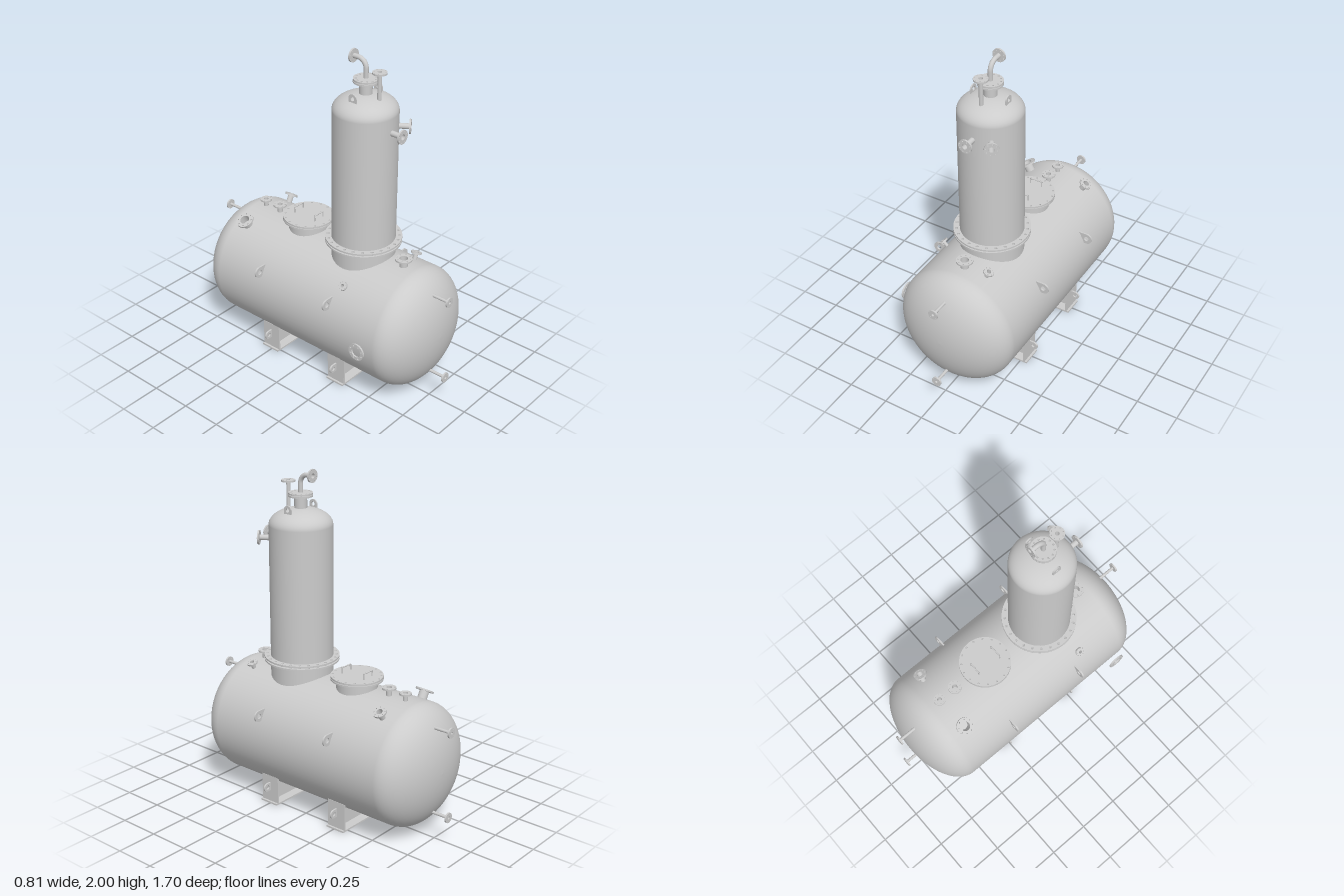
import * as THREE from 'three';

const mat = new THREE.MeshStandardMaterial({ color: 0xcccccc, side: THREE.DoubleSide });
const UP = new THREE.Vector3(0, 1, 0);

function add(parent, name, geo, x = 0, y = 0, z = 0) {
  const m = new THREE.Mesh(geo, mat);
  m.name = name;
  m.position.set(x, y, z);
  parent.add(m);
  return m;
}

// Flat ring with a bolt circle; its upper face lies at y = 0
function flangeGeo(r, bore, bolts, t = 0.01, boltCircle = 0.8, boltR = r * 0.08) {
  const s = new THREE.Shape().absarc(0, 0, r, 0, Math.PI * 2, false);
  const hole = (x, y, q) => s.holes.push(new THREE.Path().absarc(x, y, q, 0, Math.PI * 2, true));
  if (bore) hole(0, 0, bore);
  for (let i = 0; i < bolts; i++) {
    const a = ((i + 0.5) / bolts) * Math.PI * 2;
    hole(Math.cos(a) * r * boltCircle, Math.sin(a) * r * boltCircle, boltR);
  }
  const g = new THREE.ExtrudeGeometry(s, { depth: t, bevelEnabled: false, curveSegments: r > 0.1 ? 32 : 16 });
  return g.rotateX(-Math.PI / 2).translate(0, -t, 0);
}

function pipeGeo(r, y0, y1, seg = 24) {
  return new THREE.CylinderGeometry(r, r, y1 - y0, seg, 1, true).translate(0, (y0 + y1) / 2, 0);
}

// Pipe stub ending in a flange at pos, pointing along dir
function nozzle(parent, name, pos, dir, length, pipeR, flangeR, bolts = 8) {
  const g = new THREE.Group();
  g.name = name;
  add(g, 'pipe', pipeGeo(pipeR, -length, 0));
  add(g, 'flange', flangeGeo(flangeR, pipeR, bolts));
  g.position.set(...pos);
  g.quaternion.setFromUnitVectors(UP, new THREE.Vector3(...dir).normalize());
  parent.add(g);
}

// Round-ended plate with an eye at the origin, pointing along +x
function lugGeo(r, tail, hole, t = 0.01) {
  const s = new THREE.Shape();
  s.moveTo(-tail, -r);
  s.lineTo(0, -r);
  s.absarc(0, 0, r, -Math.PI / 2, Math.PI / 2, false);
  s.lineTo(-tail, r);
  s.closePath();
  s.holes.push(new THREE.Path().absarc(0, 0, hole, 0, Math.PI * 2, true));
  return new THREE.ExtrudeGeometry(s, { depth: t, bevelEnabled: false, curveSegments: 16 }).translate(0, 0, -t / 2);
}

export function createModel() {
  const root = new THREE.Group();
  root.name = 'pressureVessel';
  const g = new THREE.Group();
  g.name = 'assembly';
  g.position.x = 0.01;
  root.add(g);

  // Horizontal drum with elliptical heads
  const R = 0.367, CY = 0.423, HALF = 0.595, HEAD = 0.206;
  const profile = [];
  for (let i = 0; i <= 16; i++) {
    const a = (i / 16) * Math.PI / 2;
    profile.push(new THREE.Vector2(R * Math.sin(a), -HALF - HEAD * Math.cos(a)));
  }
  for (let i = 16; i >= 0; i--) profile.push(new THREE.Vector2(profile[i].x, -profile[i].y));
  add(g, 'drum', new THREE.LatheGeometry(profile, 72).rotateX(Math.PI / 2), 0, CY, 0);

  // Vertical column with domed top
  const CZ = 0.233, CR = 0.185;
  const colProfile = [new THREE.Vector2(CR, 0.88)];
  for (let i = 0; i <= 14; i++) {
    const a = (i / 14) * Math.PI / 2;
    colProfile.push(new THREE.Vector2(CR * Math.cos(a), 1.67 + 0.1 * Math.sin(a)));
  }
  add(g, 'column', new THREE.LatheGeometry(colProfile, 56), 0, 0, CZ);
  add(g, 'columnNeck', pipeGeo(CR, 0.68, 0.86, 56), 0, 0, CZ);
  for (const y of [0.866, 0.884]) add(g, 'columnFlange', flangeGeo(0.222, 0.18, 24, 0.01, 0.92, 0.008), 0, y, CZ);

  // Top outlet: capped neck with an elbow towards the back
  add(g, 'outletNeck', pipeGeo(0.037, 1.75, 1.84), 0, 0, CZ);
  add(g, 'outletFlange', flangeGeo(0.071, 0.037, 12), 0, 1.843, CZ);
  add(g, 'outletCover', flangeGeo(0.071, 0, 12), 0, 1.856, CZ);
  const V = (y, z) => new THREE.Vector3(0, y, z);
  const path = new THREE.CurvePath();
  path.add(new THREE.LineCurve3(V(1.85, CZ), V(1.91, CZ)));
  path.add(new THREE.CubicBezierCurve3(V(1.91, CZ), V(1.939, CZ), V(1.961, 0.209), V(1.961, 0.18)));
  path.add(new THREE.LineCurve3(V(1.961, 0.18), V(1.961, 0.145)));
  add(g, 'elbowPipe', new THREE.TubeGeometry(path, 32, 0.014, 16));
  nozzle(g, 'elbowEnd', [0, 1.961, 0.14], [0, 0, -1], 0.02, 0.014, 0.039);

  // Column nozzles
  nozzle(g, 'ventPipe', [0, 1.915, 0.326], [0, 1, 0], 0.2, 0.012, 0.041);
  nozzle(g, 'columnFrontNozzle', [0, 1.585, 0.492], [0, 0, 1], 0.09, 0.016, 0.041);
  const a = 0.57, d = 0.25;
  nozzle(g, 'columnAngledNozzle', [Math.sin(a) * d, 1.585, CZ + Math.cos(a) * d],
    [Math.sin(a), 0, Math.cos(a)], 0.09, 0.016, 0.041);

  // Manhole with bolted lid and two handles
  const MZ = -0.186;
  add(g, 'manholeNeck', pipeGeo(0.12, 0.72, 0.84, 40), 0, 0, MZ);
  add(g, 'manholeFlange', flangeGeo(0.153, 0.12, 16, 0.01, 0.92, 0.006), 0, 0.842, MZ);
  add(g, 'manholeLid', flangeGeo(0.153, 0, 16, 0.011, 0.92, 0.006), 0, 0.856, MZ);
  for (const z of [-0.265, -0.107]) {
    const bar = new THREE.CurvePath();
    const p = [[-0.038, 0.85], [-0.038, 0.89], [0.038, 0.89], [0.038, 0.85]].map(([x, y]) => new THREE.Vector3(x, y, z));
    for (let i = 0; i < 3; i++) bar.add(new THREE.LineCurve3(p[i], p[i + 1]));
    add(g, 'lidHandle', new THREE.TubeGeometry(bar, 40, 0.004, 8));
  }

  // Drum nozzles placed by angle from the vertical: [angle, distance, z, pipe, flange]
  const radial = [
    [0, 0.417, 0.525, 0.024, 0.049], [0, 0.417, -0.418, 0.016, 0.041], [0, 0.413, -0.533, 0.014, 0.035],
    [-30, 0.42, -0.515, 0.028, 0.053], [30, 0.42, -0.515, 0.018, 0.04],
    [-45, 0.407, 0.317, 0.01, 0.028], [21, 0.41, 0.505, 0.013, 0.032],
    [180, 0.393, 0.508, 0.02, 0.042], [180, 0.393, -0.508, 0.025, 0.046],
  ];
  for (const [deg, dist, z, pr, fr] of radial) {
    const t = deg * Math.PI / 180, s = Math.sin(t), c = Math.cos(t);
    nozzle(g, 'drumNozzle', [s * dist, CY + c * dist, z], [s, c, 0], dist - R + 0.03, pr, fr);
  }
  // Gauge nozzles on both heads
  for (const e of [1, -1]) for (const y of [0.683, 0.165])
    nozzle(g, 'headNozzle', [0, y, e * 0.852], [0, 0, e], 0.14, 0.009, 0.03, 4);

  // Side ring standing off the drum
  add(g, 'sideRing', flangeGeo(0.052, 0.032, 8), -0.418, CY, 0.525).rotation.z = Math.PI / 2;

  // Lifting lugs on the drum and the column dome
  for (const s of [1, -1]) {
    for (const z of [0.258, -0.262])
      add(g, 'drumLug', lugGeo(0.034, 0.05, 0.016), s * 0.357, 0.59, z).rotation.y = s > 0 ? 0 : Math.PI;
    add(g, 'columnLug', lugGeo(0.027, 0.05, 0.012, 0.008), s * 0.109, 1.77, CZ).rotation.set(0, Math.PI / 2, Math.PI / 2);
  }

  // Saddles: base plate, curved web, end plates and eyes
  const half = 0.272, edge = Math.asin(half / R);
  const web = new THREE.Shape();
  web.moveTo(-half, 0);
  web.lineTo(half, 0);
  web.absarc(0, CY, R, edge - Math.PI / 2, -edge - Math.PI / 2, true);
  web.closePath();
  const webGeo = new THREE.ExtrudeGeometry(web, { depth: 0.012, bevelEnabled: false, curveSegments: 32 }).translate(0, 0, -0.006);
  for (const z of [0.257, -0.26]) {
    const saddle = new THREE.Group();
    saddle.name = 'saddle';
    saddle.position.z = z;
    g.add(saddle);
    add(saddle, 'basePlate', new THREE.BoxGeometry(0.57, 0.01, 0.124), 0, 0.005, 0);
    add(saddle, 'web', webGeo);
    for (const s of [1, -1]) {
      add(saddle, 'endPlate', new THREE.BoxGeometry(0.01, 0.172, 0.124), s * (half - 0.005), 0.09, 0);
      add(saddle, 'saddleLug', lugGeo(0.026, 0.03, 0.013), s * 0.298, 0.107, 0).rotation.y = s > 0 ? 0 : Math.PI;
    }
  }
  return root;
}
